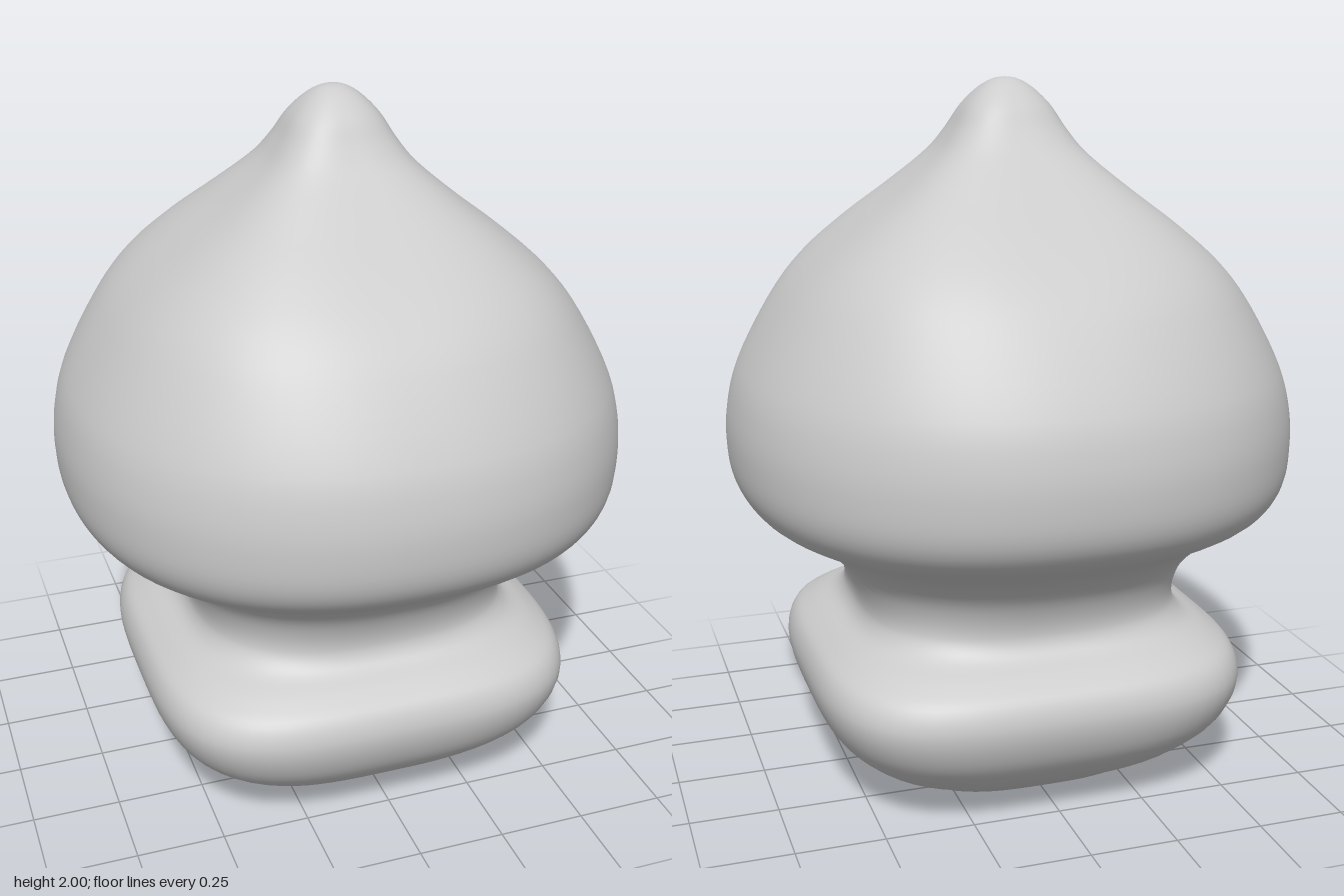
import * as THREE from 'three';
import { mergeVertices } from 'three/addons/utils/BufferGeometryUtils.js';

// Each row: half width, height, squareness (2 = circle, larger = squarer)
const PROFILE = [
  [0, 0.01, 3], [0.2, 0.003, 3], [0.34, 0, 3], [0.41, 0.04, 3.1], [0.5, 0.1, 3.3],
  [0.59, 0.2, 3.5], [0.625, 0.31, 3.6], [0.605, 0.385, 3.6], [0.55, 0.43, 3.5],
  [0.485, 0.47, 3.2], [0.465, 0.52, 2.9], [0.495, 0.62, 2.6], [0.58, 0.71, 2.4],
  [0.74, 0.81, 2.3], [0.79, 0.885, 2.25], [0.805, 1, 2.23], [0.795, 1.1, 2.25],
  [0.765, 1.2, 2.3], [0.65, 1.4, 2.55], [0.565, 1.5, 2.8], [0.45, 1.6, 3.1],
  [0.32, 1.7, 3.4], [0.205, 1.8, 3.4], [0.16, 1.86, 3.1], [0.12, 1.925, 2.7],
  [0.07, 1.975, 2.3], [0.03, 1.996, 2], [0, 2, 2],
];

// Turned shape whose round cross-sections are pushed out toward rounded squares
function squaredLathe(rows, steps, sides) {
  const curve = new THREE.CatmullRomCurve3(
    rows.map(([r, y, p]) => new THREE.Vector3(r, y, p * 0.05)));
  const samples = curve.getPoints(steps);
  const lathe = new THREE.LatheGeometry(
    samples.map((s) => new THREE.Vector2(Math.max(0, s.x), s.y)), sides);
  const pos = lathe.attributes.position;
  for (let i = 0; i < pos.count; i++) {
    const p = samples[i % samples.length].z / 0.05;
    const x = pos.getX(i), z = pos.getZ(i), r = Math.hypot(x, z);
    if (r < 1e-6) continue;
    const k = Math.pow(Math.abs(x / r) ** p + Math.abs(z / r) ** p, -1 / p);
    pos.setX(i, x * k);
    pos.setZ(i, z * k);
  }
  // Weld the seam so the shading is continuous
  lathe.deleteAttribute('uv');
  lathe.deleteAttribute('normal');
  const welded = mergeVertices(lathe, 1e-5);
  welded.computeVertexNormals();
  return welded;
}

export function createModel() {
  const group = new THREE.Group();
  group.name = 'finial';
  // Cushion base, neck, onion bulb and tip in one continuous surface
  const body = new THREE.Mesh(
    squaredLathe(PROFILE, 135, 96),
    new THREE.MeshStandardMaterial({ color: 0xcccccc }));
  body.name = 'finialBody';
  group.add(body);
  return group;
}
